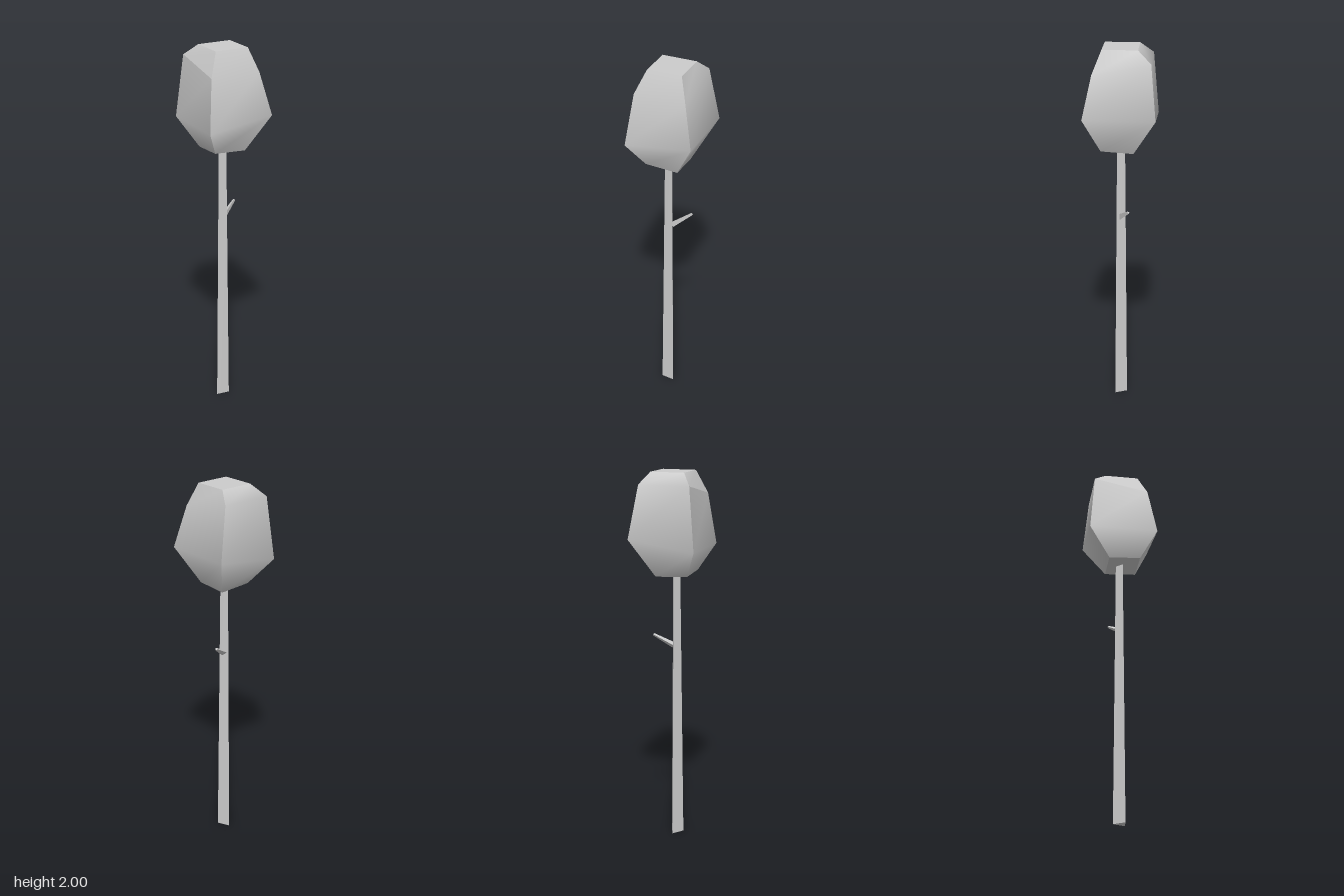
import * as THREE from 'three';

const material = new THREE.MeshStandardMaterial({ color: 0xcccccc, side: THREE.DoubleSide });

// Skin rings of [x, y, z] points (bottom to top). Each side is smooth vertically,
// with hard corners; hard(side, ring) adds a crease along a ring.
function loft(rings, hard = () => false) {
  const pos = [], idx = [], n = rings[0].length;
  const add = (p) => pos.push(...p) / 3 - 1;
  for (let s = 0; s < n; s++) {
    const row = (r) => [add(rings[r][s]), add(rings[r][(s + 1) % n])];
    let low = row(0);
    for (let r = 1; r < rings.length; r++) {
      const high = row(r);
      idx.push(low[0], low[1], high[1], low[0], high[1], high[0]);
      low = hard(s, r) ? row(r) : high;
    }
  }
  // End caps
  const bottom = rings[0].map(add), top = rings[rings.length - 1].map(add);
  for (let i = 1; i < n - 1; i++) {
    idx.push(bottom[0], bottom[i + 1], bottom[i], top[0], top[i], top[i + 1]);
  }
  const geo = new THREE.BufferGeometry();
  geo.setAttribute('position', new THREE.Float32BufferAttribute(pos, 3));
  geo.setIndex(idx);
  geo.computeVertexNormals();
  return geo;
}

// Four-cornered ring: front left, front right, back right, back left as drawn from +z
const quad = (x0, x1, zBack, zFront, y) => [
  [x0, y[0], zFront], [x1, y[1], zFront], [x1, y[2], zBack], [x0, y[3], zBack],
];

export function createModel() {
  const model = new THREE.Group();
  const part = (name, geometry) => {
    const mesh = new THREE.Mesh(geometry, material);
    mesh.name = name;
    model.add(mesh);
    return mesh;
  };

  // Crown: faceted block with tilted rings
  part('crown', loft([
    quad(-0.105, 0.07, -0.07, 0.1, [1.475, 1.465, 1.455, 1.465]),
    quad(-0.18, 0.178, -0.187, 0.185, [1.61, 1.66, 1.66, 1.61]),
    quad(-0.146, 0.128, -0.16, 0.138, [1.88, 1.88, 1.94, 1.94]),
    quad(-0.095, 0.088, -0.092, 0.09, [2, 2, 2, 2]),
  ], (side, ring) => side === 3 && ring === 2));

  // Trunk: tapering three-sided post
  part('trunk', loft([
    [[-0.055, 0, 0.023], [0.017, 0, 0.031], [-0.012, 0, -0.034]],
    [[-0.037, 1.47, 0.014], [0.005, 1.47, 0.02], [-0.012, 1.47, -0.021]],
  ]));

  // Branch: short three-sided twig pointing up and out
  const from = new THREE.Vector3(-0.005, 1.075, 0.002), to = new THREE.Vector3(0.092, 1.138, -0.047);
  const dir = to.clone().sub(from);
  const twig = loft([0.018, 0.008].map((r, i) => [0, 1, 2].map((k) => {
    const a = -k * Math.PI * 2 / 3;
    return [r * Math.cos(a), (i - 0.5) * dir.length(), r * Math.sin(a)];
  })));
  const branch = part('branch', twig);
  branch.position.copy(from).add(to).multiplyScalar(0.5);
  branch.quaternion.setFromUnitVectors(new THREE.Vector3(0, 1, 0), dir.normalize());

  return model;
}
